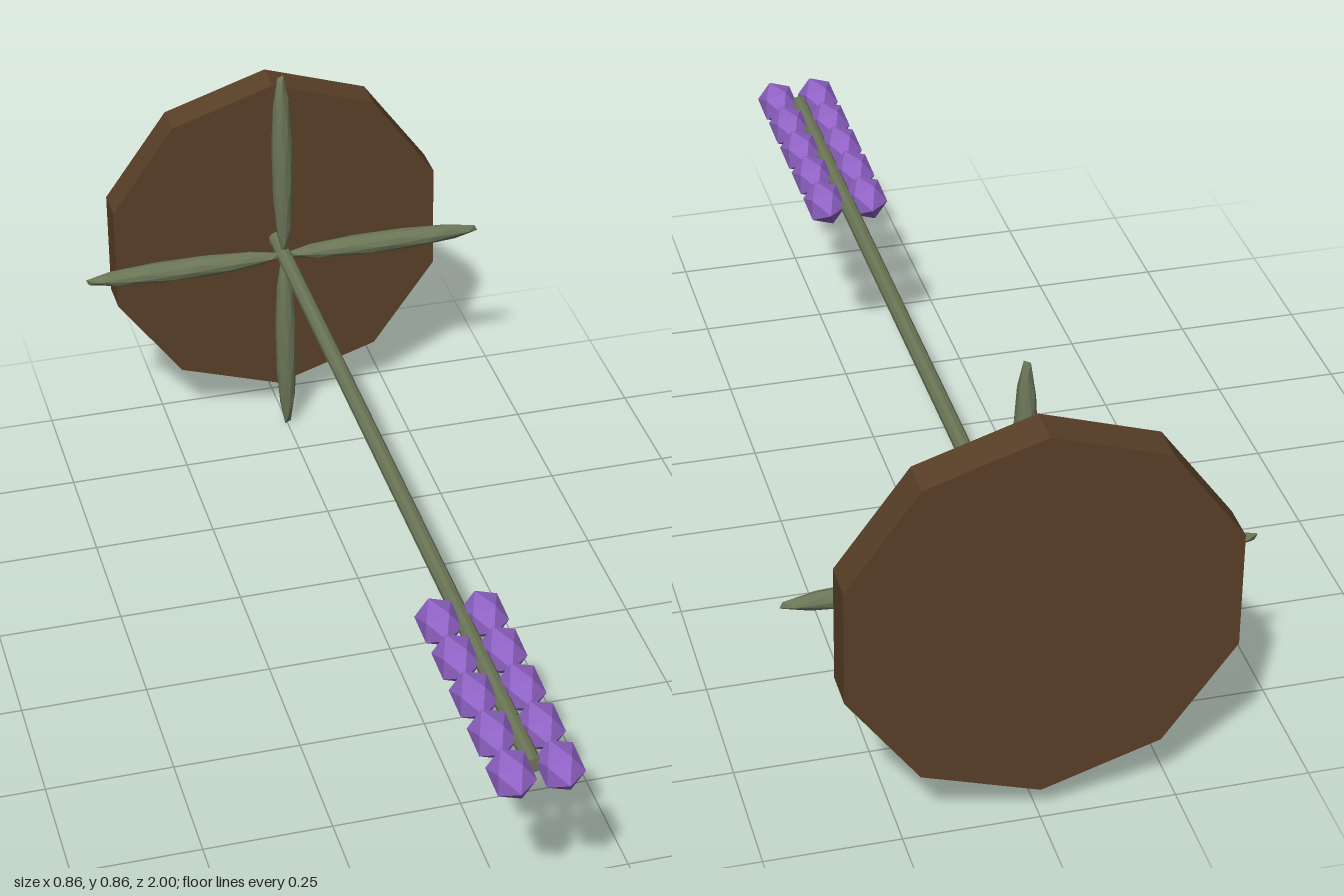
import * as THREE from 'three';

const CENTRE_Y = 0.435;

const paint = (color) => new THREE.MeshStandardMaterial({ color, flatShading: true });

export function createModel() {
  const model = new THREE.Group();
  const brown = paint(0x5a4028);
  const green = paint(0x6b7657);
  const purple = paint(0x8f62c4);

  const add = (name, geometry, material, x, y, z) => {
    const mesh = new THREE.Mesh(geometry, material);
    mesh.name = name;
    mesh.position.set(x, y, z);
    model.add(mesh);
    return mesh;
  };

  // Ten-sided soil disc, axis along z, one corner pointing up
  const disc = new THREE.CylinderGeometry(0.37, 0.37, 0.075, 10).rotateX(Math.PI / 2);
  add('soilDisc', disc, brown, 0, CENTRE_Y, -0.9625);

  // Long thin stem
  const stem = new THREE.CylinderGeometry(0.016, 0.016, 1.88, 10).rotateX(Math.PI / 2);
  add('stem', stem, green, 0, CENTRE_Y, -0.01);

  // Four faceted leaves in a cross around the stem, each a stretched, tilted ball
  const leaf = new THREE.IcosahedronGeometry(1, 1)
    .rotateZ(THREE.MathUtils.degToRad(-71.3))
    .scale(0.218, 0.023, 0.023)
    .translate(0.218, 0, 0);
  for (let i = 0; i < 4; i++) {
    add('leaf', leaf, green, 0, CENTRE_Y, -0.853).rotation.z = (i * Math.PI) / 2;
  }

  // Two rows of five buds, each with its points along the stem
  const bud = new THREE.IcosahedronGeometry(1, 0)
    .rotateX(Math.atan(2 / (1 + Math.sqrt(5))))
    .rotateZ(Math.PI / 2)
    .scale(0.043, 0.043, 0.06);
  for (const side of [-1, 1]) {
    for (let i = 0; i < 5; i++) {
      add('bud', bud, purple, side * 0.044, CENTRE_Y, 0.94 - i * 0.1125);
    }
  }

  return model;
}
